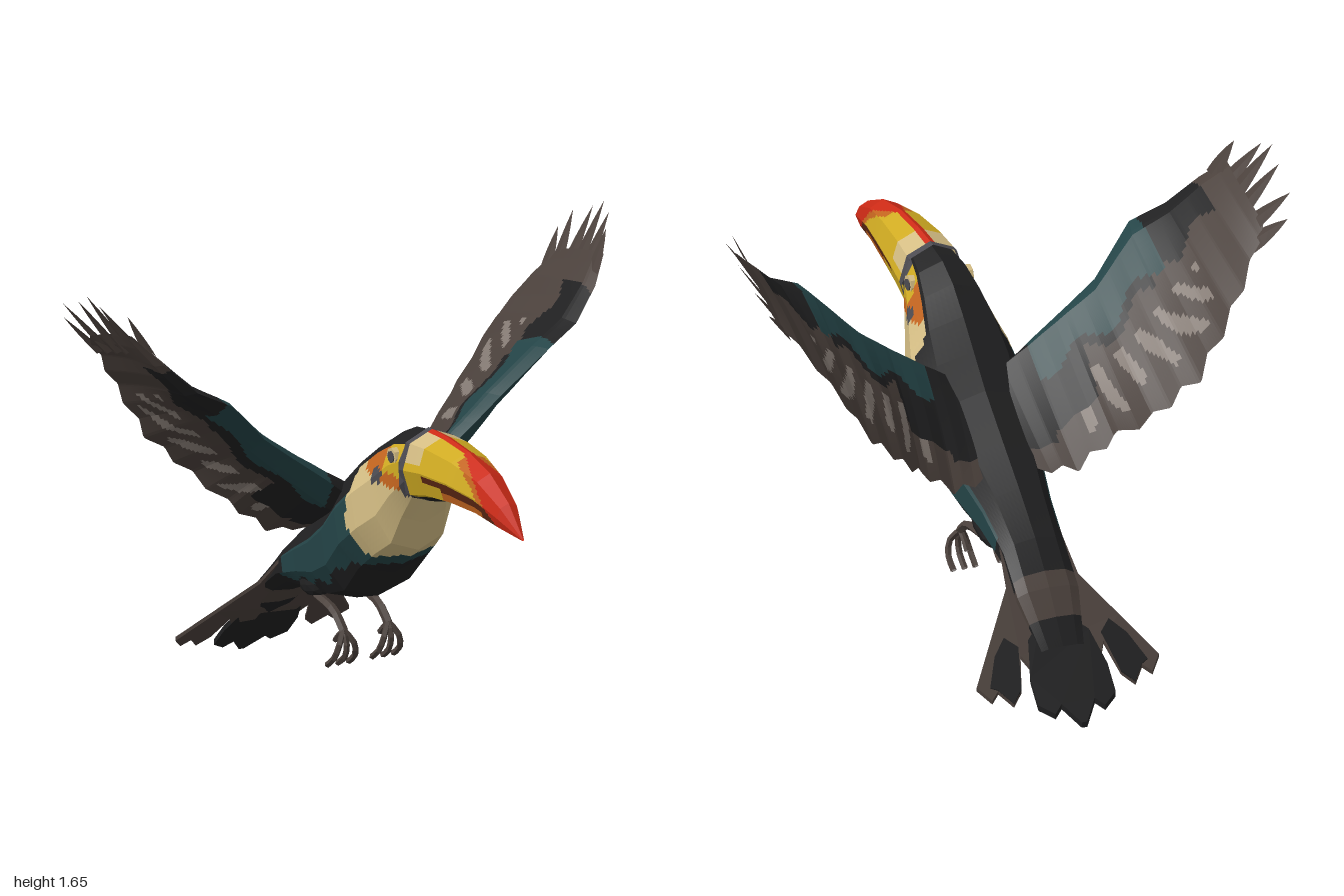
import * as THREE from 'three';

const COLORS = {
  black: 0x202021, brown: 0x4b413c, teal: 0x244447, grey: 0x857b74, cream: 0xd4bd84,
  yellow: 0xd0ab22, orange: 0xc4651f, red: 0xcc2a16, maroon: 0x5c2713, slate: 0x4b4a50,
};
const MATS = {};
for (const [name, color] of Object.entries(COLORS)) {
  MATS[name] = new THREE.MeshStandardMaterial({ color, flatShading: true, side: THREE.DoubleSide });
  MATS[name].name = name;
}

const V = (x, y, z) => new THREE.Vector3(x, y, z);
const lerp = THREE.MathUtils.lerp;
const fract = (x) => x - Math.floor(x);

function part(name, geometry, material) {
  const mesh = new THREE.Mesh(geometry, material);
  mesh.name = name;
  return mesh;
}

// Surface over u, v in 0..1; paint(p, u, v) picks the colour of each cell
function paintedGrid(name, nu, nv, point, paint) {
  const buckets = {};
  for (let i = 0; i < nu; i++) for (let j = 0; j < nv; j++) {
    const a = point(i / nu, j / nv), b = point(i / nu, (j + 1) / nv);
    const c = point((i + 1) / nu, (j + 1) / nv), d = point((i + 1) / nu, j / nv);
    const mid = a.clone().add(b).add(c).add(d).multiplyScalar(0.25);
    const list = (buckets[paint(mid, (i + 0.5) / nu, (j + 0.5) / nv)] ??= []);
    for (const p of [a, b, d, b, c, d]) list.push(p.x, p.y, p.z);
  }
  const geo = new THREE.BufferGeometry();
  const all = [], mats = [];
  for (const [key, list] of Object.entries(buckets)) {
    geo.addGroup(all.length / 3, list.length / 3, mats.length);
    mats.push(MATS[key]);
    for (const n of list) all.push(n);
  }
  geo.setAttribute('position', new THREE.Float32BufferAttribute(all, 3));
  geo.computeVertexNormals();
  return part(name, geo, mats);
}

// Faceted loft through rings [topZ, topY, bottomZ, bottomY, halfWidth]
function loft(name, rings, sides, sub, paint) {
  const corner = (i, k) => {
    const [zt, yt, zb, yb, w] = rings[i];
    const a = (k / sides) * Math.PI * 2, s = Math.sin(a), t = (1 - Math.cos(a)) / 2;
    return V(w * Math.sign(s) * Math.abs(s) ** 0.8, lerp(yt, yb, t), lerp(zt, zb, t));
  };
  const n = rings.length - 1;
  const point = (u, v) => {
    const i = Math.min(n - 1, Math.floor(u * n + 1e-6)), k = Math.min(sides - 1, Math.floor(v * sides + 1e-6));
    const fu = u * n - i, fv = v * sides - k;
    return corner(i, k).lerp(corner(i, k + 1), fv).lerp(corner(i + 1, k).lerp(corner(i + 1, k + 1), fv), fu);
  };
  return paintedGrid(name, n * sub, sides * sub, point,
    (p, u, v) => paint(p, v < 0.5 ? 2 * v : 2 - 2 * v)); // 0 on top, 1 underneath
}

// Head and body, beak end first, flattening into the tail
const BODY = [
  [0.34, 1.2, 0.33, 0.95, 0.105], [0.24, 1.185, 0.29, 0.86, 0.128], [0.15, 1.14, 0.25, 0.75, 0.152],
  [0.06, 1.06, 0.17, 0.69, 0.182], [-0.03, 0.97, 0.08, 0.615, 0.198], [-0.13, 0.87, -0.03, 0.5, 0.19],
  [-0.28, 0.75, -0.18, 0.445, 0.16], [-0.42, 0.64, -0.36, 0.42, 0.13], [-0.56, 0.52, -0.53, 0.39, 0.115],
  [-0.68, 0.39, -0.65, 0.32, 0.115], [-0.8, 0.225, -0.79, 0.2, 0.08],
];
function bodyPaint(p, f) {
  const { y, z } = p;
  const capLine = z > 0.2 ? 1.13 + (z - 0.2) * 0.4 : 1.02 + (z - 0.08) * 0.92;
  if (z > 0.07 + Math.max(0, 0.84 - y) * 0.5 && y > 0.715) {
    if (y > capLine || f < 0.22) return 'black';
    if (z > 0.315 && y > 0.98) return 'slate';
    if (y > 1.0) {
      if (z > 0.23) return y > 1.045 ? 'yellow' : 'orange';
      if (z > 0.18 && y < 1.05) return 'slate';
      return y > 1.02 && z > 0.12 ? 'orange' : 'cream';
    }
    return 'cream';
  }
  if (z < -0.64) return z > -0.73 ? 'brown' : 'black';
  if (z > 0.02 && y > 0.67 && f > 0.4) return 'teal';
  return f > 0.36 && f < 0.7 + 0.04 * Math.sin(z * 40) && z > -0.5 ? 'teal' : 'black';
}

// Beak, tip first
const BEAK = [
  [0.98, 1.02, 0.98, 1.012, 0.004], [0.88, 1.115, 0.87, 1.015, 0.042], [0.75, 1.18, 0.74, 1.02, 0.065],
  [0.6, 1.21, 0.6, 1.01, 0.088], [0.45, 1.216, 0.45, 0.985, 0.104], [0.32, 1.208, 0.32, 0.945, 0.114],
];
function beakPaint(p, f) {
  const z = p.z;
  if (z < 0.342) return 'slate';
  const redEnd = 0.05 + 8 * Math.max(0, z - 0.56) ** 2;          // ridge widening to the tip
  if (z > 0.89 || f < redEnd) return 'red';
  if (f > 0.82) return 'black';
  if (z < 0.44 && f < 0.42) return 'cream';
  if (f < 0.52) return f < redEnd + 0.12 && z > 0.62 ? 'orange' : 'yellow';
  if (z < 0.56) return f < 0.6 && z > 0.45 ? 'maroon' : 'yellow';
  return f < 0.66 || z > 0.78 ? 'maroon' : 'orange';
}

// Wing stations: [x, leadZ, leadY, trailZ, trailY, thickness]
const WING = [
  [0.1, 0.0, 0.86, -0.36, 0.65, 0.1], [0.22, 0.0, 0.96, -0.4, 0.65, 0.085], [0.35, 0.0, 1.06, -0.42, 0.75, 0.07],
  [0.45, 0.0, 1.14, -0.52, 0.85, 0.06], [0.6, 0.06, 1.3, -0.575, 1.0, 0.05], [0.72, 0.03, 1.36, -0.55, 1.2, 0.035],
  [0.82, -0.02, 1.46, -0.49, 1.35, 0.025], [0.89, -0.09, 1.54, -0.42, 1.45, 0.012],
];
function wingPoint(u, v) {
  const n = WING.length - 1, i = Math.min(n - 1, Math.floor(u * n + 1e-6));
  const [x, lz, ly, tz, ty, th] = WING[i].map((a, k) => lerp(a, WING[i + 1][k], u * n - i));
  const c = Math.abs(1 - 2 * v), side = v < 0.5 ? 1 : -1;
  const saw = Math.abs(fract(x * 11) - 0.5) * 2;                 // feather ends and pleats
  const reach = c * (1 - 0.05 * saw * c * c * c);
  const bulge = side * th * Math.min(c / 0.12, (1 - c) / 0.88) * 0.6 + 0.008 * (saw - 0.5) * c + 0.05 * c * (1 - c);
  return V(x - 0.6 * bulge, lerp(ly, ty, reach) + 0.75 * bulge, lerp(lz, tz, reach));
}
function wingPaint(p, u, v) {
  const c = Math.abs(1 - 2 * v), x = p.x, under = v > 0.5;
  if (x < 0.19) return c > 0.8 ? 'brown' : 'black';
  const tealEnd = (under ? 0.2 : 0.36) + 0.05 * Math.sin(x * 33);
  if (x < 0.62 && c < tealEnd) return 'teal';
  const blackEnd = x < 0.34 ? 0.72 : x < 0.58 ? tealEnd + (under ? 0.15 : 0.07) : 0.37 + 0.06 * Math.sin(x * 40);
  if (x < 0.8 && c < blackEnd) return 'black';
  // pale bars fanning outward towards the trailing edge
  const stripe = fract(x * 15 - (c - 0.5) * 10 * (x - 0.22)) < 0.42;
  if (stripe && x > 0.24 && x < 0.7 && c > 0.53 && c < 0.84 + 0.05 * Math.sin(x * 50)) return 'grey';
  return 'brown';
}

// Flat pointed feather between two points
function blade(name, a, b, width, color) {
  const dir = V(0, -0.25, -0.97);
  return paintedGrid(name, 4, 2, (u, v) => a.clone().lerp(b, u)
    .addScaledVector(dir, (v - 0.5) * width * (1 - u ** 1.8))
    .add(V(0, 0.012 * (1 - u) * (1 - Math.abs(2 * v - 1)), 0)), () => color);
}

function wing() {
  const g = new THREE.Group();
  g.add(paintedGrid('wingSurface', 7 * 20, 64, wingPoint, wingPaint));
  const tips = [[0.91, 1.62, -0.11], [0.97, 1.64, -0.2], [0.985, 1.66, -0.26], [0.98, 1.62, -0.33], [0.97, 1.57, -0.45], [0.94, 1.5, -0.5]];
  tips.forEach((t, i) => {
    const k = i / (tips.length - 1);
    g.add(blade('wingTipFeather', V(0.84, lerp(1.48, 1.38, k), lerp(-0.08, -0.41, k)), V(...t), 0.085, 'brown'));
  });
  return g;
}

// Sloped tail plate from an outline of [x, distance back]
const mirrored = (half) => [...half, ...half.slice().reverse().map(([x, d]) => [-x, d])];
function tailPlate(name, outline, lift, depth, color) {
  const shape = new THREE.Shape(outline.map(([x, d]) => new THREE.Vector2(x, d)));
  const geo = new THREE.ExtrudeGeometry(shape, { depth, bevelEnabled: false });
  const pos = geo.attributes.position;
  for (let i = 0; i < pos.count; i++) {
    const x = pos.getX(i), d = pos.getY(i), h = pos.getZ(i);
    pos.setXYZ(i, x, 0.505 - 1.02 * (d - 0.5) + h + lift - Math.abs(x) * 0.06, -d);
  }
  geo.computeVertexNormals();
  return part(name, geo, MATS[color]);
}

function tube(name, pts, radius, color) {
  const curve = new THREE.CatmullRomCurve3(pts.map((p) => V(...p)));
  return part(name, new THREE.TubeGeometry(curve, 6, radius, 5), MATS[color]);
}

function leg() {
  const g = new THREE.Group();
  const thigh = part('thigh', new THREE.IcosahedronGeometry(1, 1), MATS.black);
  thigh.scale.set(0.035, 0.045, 0.1);
  thigh.position.set(0.08, 0.465, -0.32);
  thigh.rotation.x = -0.3;
  g.add(thigh);
  g.add(tube('shin', [[0.085, 0.43, -0.3], [0.085, 0.41, -0.18], [0.085, 0.36, -0.115]], 0.016, 'brown'));
  for (const dx of [-0.04, 0, 0.04]) {
    g.add(tube('toe', [[0.085, 0.365, -0.12], [0.085 + dx * 0.7, 0.32, -0.095], [0.085 + dx, 0.27, -0.11], [0.085 + dx, 0.235, -0.155]], 0.011, 'brown'));
  }
  g.add(tube('backToe', [[0.085, 0.36, -0.12], [0.085, 0.335, -0.15], [0.085, 0.31, -0.175]], 0.01, 'brown'));
  return g;
}

function eye() {
  const g = new THREE.Group();
  [['eyeRing', 0.032, 0.098, 'cream'], ['pupil', 0.021, 0.102, 'slate']].forEach(([name, r, x, color]) => {
    const disc = part(name, new THREE.CylinderGeometry(r, r, 0.03, 8), MATS[color]);
    disc.rotation.z = Math.PI / 2;
    disc.position.set(x, 1.105, 0.268);
    g.add(disc);
  });
  return g;
}

export function createModel() {
  const model = new THREE.Group();
  model.name = 'flyingBird';
  model.add(loft('body', BODY, 10, 6, bodyPaint));
  model.add(loft('beak', BEAK, 8, 10, beakPaint));

  // Tail fan: brown outer feathers, dark patches and dark middle feathers
  model.add(tailPlate('tailFan', mirrored([[0.11, 0.5], [0.13, 0.62], [0.23, 0.73], [0.33, 0.84], [0.29, 0.88],
    [0.26, 0.86], [0.22, 0.9], [0.18, 0.87], [0.15, 0.79], [0.13, 0.82]]), 0, 0.014, 'brown'));
  model.add(tailPlate('tailMiddle', mirrored([[0.05, 0.72], [0.11, 0.76], [0.14, 0.85], [0.14, 0.92], [0.09, 0.95],
    [0.06, 0.93], [0.01, 0.985]]), -0.002, 0.02, 'black'));
  for (const s of [1, -1]) {
    const patch = [[0.15, 0.77], [0.19, 0.74], [0.24, 0.78], [0.285, 0.85], [0.26, 0.86], [0.22, 0.9], [0.18, 0.87]];
    model.add(tailPlate('tailPatch', patch.map(([x, d]) => [s * x, d]), 0.011, 0.006, 'black'));
  }

  // Paired parts
  for (const [label, make] of [['Wing', wing], ['Leg', leg], ['Eye', eye]]) {
    for (const s of [1, -1]) {
      const g = make();
      g.name = (s > 0 ? 'left' : 'right') + label;
      g.scale.x = s;
      model.add(g);
    }
  }
  return model;
}
